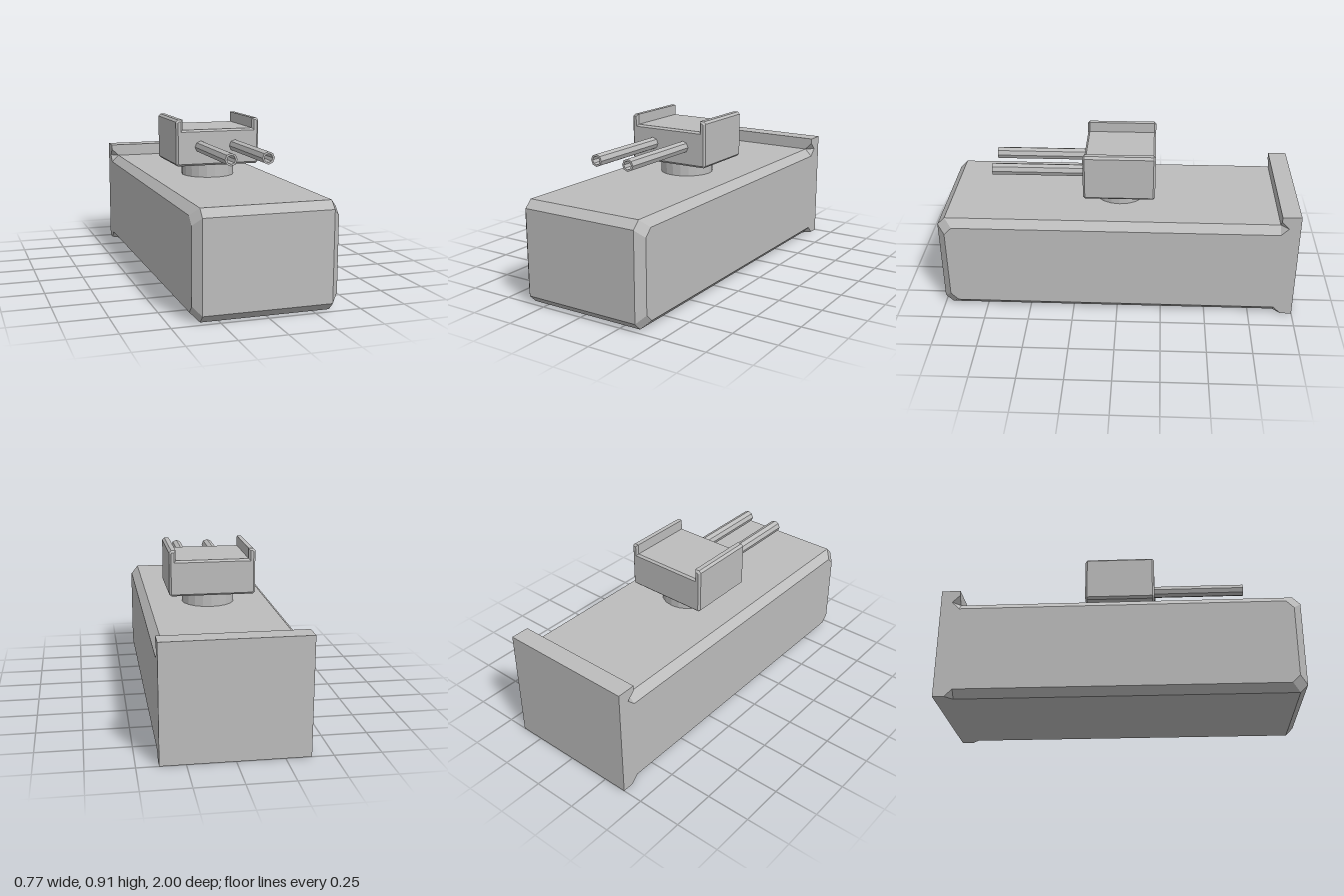
import * as THREE from 'three';

const grey = new THREE.MeshStandardMaterial({ color: 0xbcbcbc, flatShading: true });
grey.name = 'plain grey';

function part(name, geometry) {
  const mesh = new THREE.Mesh(geometry, grey);
  mesh.name = name;
  return mesh;
}

// Fans convex polygons of the +x half into triangles and mirrors them to -x
function mirroredFaces(polygons) {
  const pos = [];
  const flip = ([x, y, z]) => [-x, y, z];
  for (const p of polygons) {
    for (let i = 1; i < p.length - 1; i++) {
      pos.push(...p[0], ...p[i], ...p[i + 1]);
      pos.push(...flip(p[0]), ...flip(p[i + 1]), ...flip(p[i]));
    }
  }
  const g = new THREE.BufferGeometry();
  g.setAttribute('position', new THREE.Float32BufferAttribute(pos, 3));
  g.computeVertexNormals();
  return g;
}

// Long chamfered hull with a raised, notched rear plate
function hullGeometry() {
  const c = 0.042, W = 0.385, w = W - c, H = 0.567, T = 0.638;
  const f = 1 - c, g = 1 - 2 * c, b = -0.895, n = b - c;
  const side = (pts) => pts.map(([z, y]) => [W, y, z]);
  return mirroredFaces([
    // front, top and bottom with their chamfers
    [[0, c, 1], [w, c, 1], [w, H - c, 1], [0, H - c, 1]],
    [[0, H - c, 1], [w, H - c, 1], [w, H, f], [0, H, f]],
    [[0, H, f], [w, H, f], [w, H, b], [0, H, b]],
    [[0, 0, -1], [W, 0, -1], [W, 0, n], [w, 0, b], [w, 0, f], [0, 0, f]],
    [[0, 0, f], [w, 0, f], [w, c, 1], [0, c, 1]],
    // upright chamfer, corner facets and long side chamfers
    [[w, c, 1], [W, 2 * c, f], [W, H - 2 * c, f], [w, H - c, 1]],
    [[w, H - c, 1], [W, H - 2 * c, f], [W, H - c, g], [w, H, f]],
    [[w, 0, f], [W, c, g], [W, 2 * c, f], [w, c, 1]],
    [[w, H, f], [W, H - c, g], [W, H - c, b], [w, H, b]],
    [[w, 0, b], [W, c, b], [W, c, g], [w, 0, f]],
    // notches where the chamfers run into the rear plate
    [[w, 0, b], [W, 0, n], [W, c, b]],
    [[w, H, b], [W, H, n], [W, H + c, b]],
    [[w, H, b], [W, H - c, b], [W, H, n]],
    // rear plate
    [[0, H, b], [w, H, b], [W, H + c, b], [W, T, b], [0, T, b]],
    [[0, T, b], [W, T, b], [W, T, -1], [0, T, -1]],
    [[W, 0, -1], [0, 0, -1], [0, T, -1], [W, T, -1]],
    // flat side
    side([[f, 2 * c], [g, c], [b, c], [b, H - c], [g, H - c], [f, H - 2 * c]]),
    side([[b, c], [n, 0], [-1, 0], [-1, H], [n, H], [b, H - c]]),
    side([[n, H], [-1, H], [-1, T], [b, T], [b, H + c]]),
  ]);
}

// U-shaped turret housing, extruded front to back with a small chamfer
function housingGeometry() {
  const k = 0.011, X = 0.243 - k, inner = 0.205 + k;
  const y0 = 0.645 + k, y1 = 0.848 - k, y2 = 0.906 - k, e = 0.006;
  const right = [[X - e, y0], [X, y0 + e], [X, y2 - e], [X - e, y2], [inner, y2], [inner, y1]];
  const left = right.map(([x, y]) => [-x, y]).reverse();
  const shape = new THREE.Shape([...right, ...left].map(([x, y]) => new THREE.Vector2(x, y)));
  const g = new THREE.ExtrudeGeometry(shape, {
    depth: 0.4 - 2 * k, bevelEnabled: true, bevelSize: k, bevelThickness: k, bevelSegments: 1,
  });
  return g.translate(0, 0, -0.206 + k);
}

// Octagonal hollow tube pointing forward
function barrelGeometry() {
  const R = 0.034, r = 0.023, L = 0.53;
  const profile = [[R, 0], [R, L], [r, L], [r, 0.02], [0, 0.02]];
  const g = new THREE.LatheGeometry(profile.map(([x, y]) => new THREE.Vector2(x, y)), 8);
  return g.rotateX(Math.PI / 2);
}

export function createModel() {
  const model = new THREE.Group();
  model.name = 'turretBlock';
  model.add(part('hull', hullGeometry()));

  const turret = new THREE.Group();
  turret.name = 'turret';
  const neck = part('neck', new THREE.CylinderGeometry(0.15, 0.15, 0.1, 20));
  neck.position.set(0, 0.61, -0.006);
  turret.add(neck, part('housing', housingGeometry()));

  const barrel = barrelGeometry();
  for (const s of [1, -1]) {
    const tube = part(s > 0 ? 'leftBarrel' : 'rightBarrel', barrel);
    tube.position.set(s * 0.101, 0.752, 0.182);
    turret.add(tube);
  }
  model.add(turret);
  return model;
}
